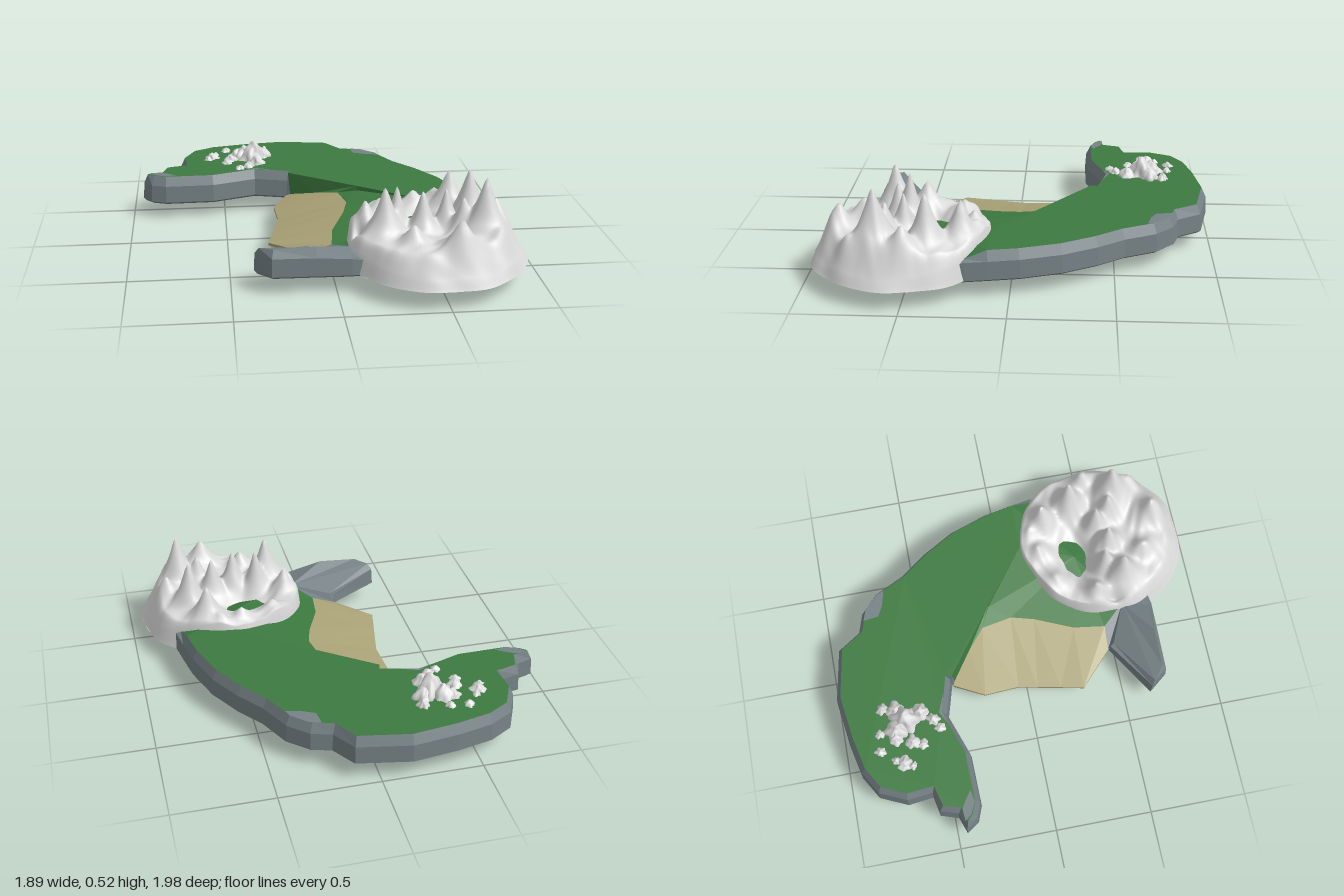
import * as THREE from 'three';
import { mergeVertices, mergeGeometries } from 'three/addons/utils/BufferGeometryUtils.js';

const mat = (name, color) => new THREE.MeshStandardMaterial({ name, color, side: THREE.DoubleSide });

// Coast from the north shore of the bay, round the island, to the spur: x, z, top height
const COAST = [
  [-0.15, -0.39, 0.23], [-0.33, -0.44, 0.23], [-0.56, -0.36, 0.23], [-0.82, -0.355, 0.23], [-0.9, -0.385, 0.23],
  [-0.945, -0.45, 0.23], [-0.86, -0.48, 0.23], [-0.83, -0.57, 0.23], [-0.73, -0.59, 0.23], [-0.745, -0.72, 0.23],
  [-0.68, -0.86, 0.23], [-0.56, -0.93, 0.23], [-0.38, -0.97, 0.23], [-0.15, -1, 0.23], [0.12, -0.95, 0.23],
  [0.2, -0.83, 0.23], [0.3, -0.8, 0.23], [0.4, -0.71, 0.23], [0.48, -0.55, 0.23], [0.58, -0.42, 0.23],
  [0.68, -0.25, 0.23], [0.75, -0.05, 0.23], [0.78, 0.1, 0.23],
  [0.8, 0.21, 0.19], [0.81, 0.4, 0.13], [0.78, 0.56, 0.1], [0.5, 0.68, 0.11],
  [0.07, 0.74, 0.17], [-0.1, 0.735, 0.23], [-0.31, 0.73, 0.22], [-0.39, 0.63, 0.21], [-0.12, 0.465, 0.14],
];
const NORTH_END = 22, EAST_END = 25, SOUTH_END = 26;
// Beach: upper edge against the grass, lower edge at the water
const UPPER = [[-0.14, -0.375, 0.11], [0, -0.27, 0.15], [0.1, -0.18, 0.18], [0.13, -0.02, 0.18], [0.1, 0.1, 0.17], [0.02, 0.3, 0.15], [0, 0.465, 0.14]];
const SHORE = [[-0.16, -0.385, 0.1], [-0.24, -0.23, 0.09], [-0.23, -0.05, 0.09], [-0.25, 0.05, 0.09], [-0.275, 0.17, 0.09], [-0.3, 0.29, 0.09], [-0.12, 0.46, 0.1]];

// Coast moved inland by d
function inset(d) {
  return COAST.map((p, i) => {
    const a = COAST[Math.max(i - 1, 0)], b = COAST[Math.min(i + 1, COAST.length - 1)];
    const tx = b[0] - a[0], tz = b[1] - a[1], l = Math.hypot(tx, tz);
    return [p[0] - tz / l * d, p[1] + tx / l * d, p[2]];
  });
}

// Flat shaded faces from [x, z, y] points
function faces(tris) {
  const g = new THREE.BufferGeometry();
  g.setAttribute('position', new THREE.Float32BufferAttribute(tris.flatMap(([x, z, y]) => [x, y, z]), 3));
  g.computeVertexNormals();
  return g;
}
function strip(a, b) {
  const t = [];
  for (let i = 0; i < a.length - 1; i++) t.push(a[i], a[i + 1], b[i], b[i], a[i + 1], b[i + 1]);
  return faces(t);
}
function fan(c, ring) {
  const t = [];
  for (let i = 0; i < ring.length - 1; i++) t.push(c, ring[i + 1], ring[i]);
  return faces(t);
}
function sheet(pts, y, down) {
  const s = new THREE.Shape(pts.map(p => new THREE.Vector2(p[0], down ? p[1] : -p[1])));
  return new THREE.ShapeGeometry(s).rotateX(down ? Math.PI / 2 : -Math.PI / 2).translate(0, y, 0);
}

// Peaks of the mountain: x, z, height, width
const PEAKS = [
  [0.72, 0.64, 0.5, 0.075], [0.69, 0.4, 0.48, 0.06], [0.24, 0.6, 0.465, 0.06], [0.31, 0.52, 0.435, 0.045],
  [0.43, 0.56, 0.42, 0.05], [0.55, 0.52, 0.42, 0.045], [0.62, 0.24, 0.42, 0.06], [0.62, 0.6, 0.4, 0.05],
  [0.57, 0.83, 0.37, 0.07], [0.36, 0.74, 0.32, 0.06], [0.8, 0.5, 0.36, 0.06], [0.45, 0.19, 0.3, 0.05],
  [0.165, 0.45, 0.35, 0.05], [0.27, 0.25, 0.28, 0.06], [0.78, 0.76, 0.3, 0.06], [0.56, 0.16, 0.3, 0.05],
];
const CX = 0.5, CZ = 0.54;
function mountainGeometry() {
  const rings = 48, segs = 120, pos = [], idx = [];
  for (let i = 0; i <= rings; i++) for (let j = 0; j < segs; j++) {
    const a = j / segs * Math.PI * 2, sz = Math.sin(a), cx = Math.cos(a);
    const R = 0.445 + 0.005 * Math.sin(a * 7) + 0.003 * Math.sin(a * 11 + 1);
    const r = R * i / rings, x = CX + r * cx, z = CZ + r * sz;
    // The north and west flanks are steep, the others spread out
    const width = 0.12 - 0.1 * Math.min(1, Math.max(0, -sz) + 0.65 * Math.max(0, -cx));
    const edge = THREE.MathUtils.smoothstep(R - r, -0.02, width);
    const low = THREE.MathUtils.smoothstep(R - r, 0, 0.015);
    let sum = 0;
    for (const [px, pz, h, w] of PEAKS)
      sum += ((h - 0.22) * Math.exp(-Math.pow(Math.hypot(x - px, z - pz) / w, 1.4))) ** 3;
    let y = 0.09 + low * (0.145 * edge + Math.cbrt(sum));
    y += 0.006 * edge * low * Math.sin(x * 45 + 2 * Math.sin(z * 30)) * Math.sin(z * 50 + 1);
    y -= 0.09 * Math.exp(-(((x - 0.4) / 0.14) ** 2 + ((z - 0.39) / 0.08) ** 2));
    y -= 0.07 * low * Math.exp(-(((x - 0.12) / 0.025) ** 2 + ((z - 0.54) / 0.05) ** 2));
    pos.push(x, Math.max(y, 0.09), z);
    if (i < rings) {
      const k = (j + 1) % segs, p = i * segs, q = p + segs;
      idx.push(p + j, p + k, q + j, p + k, q + k, q + j);
    }
  }
  const g = new THREE.BufferGeometry();
  g.setAttribute('position', new THREE.Float32BufferAttribute(pos, 3));
  g.setIndex(idx);
  g.computeVertexNormals();
  return g;
}

// A lumpy pointed rock standing on the grass: x, z, radius, height
function rockGeometry([x, z, r, h], n) {
  let g = new THREE.IcosahedronGeometry(1, 4);
  g.deleteAttribute('uv');
  g.deleteAttribute('normal');
  g = mergeVertices(g, 1e-4);
  const p = g.attributes.position, v = new THREE.Vector3();
  for (let i = 0; i < p.count; i++) {
    v.fromBufferAttribute(p, i);
    const k = 1.2 + 0.28 * Math.sin(v.x * 5 + n * 2) * Math.sin(v.z * 5 + n) + 0.15 * Math.sin(v.y * 7 + v.x * 4 + n);
    const taper = 1 - 0.55 * Math.max(0, v.y);
    p.setXYZ(i, x + v.x * k * r * taper, 0.225 + v.y * (v.y > 0 ? h * (0.83 + 0.14 * k) : 0.03), z + v.z * k * r * taper);
  }
  g.computeVertexNormals();
  return g;
}
const ROCKS = [
  [-0.33, -0.66, 0.06, 0.11], [-0.38, -0.71, 0.05, 0.07], [-0.28, -0.7, 0.045, 0.06], [-0.26, -0.77, 0.025, 0.045],
  [-0.31, -0.58, 0.04, 0.055], [-0.42, -0.72, 0.035, 0.05], [-0.36, -0.52, 0.03, 0.035], [-0.41, -0.49, 0.025, 0.025],
  [-0.46, -0.64, 0.035, 0.04], [-0.48, -0.59, 0.025, 0.025], [-0.56, -0.7, 0.035, 0.035], [-0.58, -0.66, 0.02, 0.025],
  [-0.54, -0.74, 0.02, 0.025], [-0.48, -0.81, 0.025, 0.03], [-0.39, -0.8, 0.022, 0.03],
];
// Rock points hanging under the island: x, z, radius, lowest height
const ROOTS = [[-0.58, -0.59, 0.026, 0.015], [-0.52, -0.56, 0.014, 0], [-0.49, -0.51, 0.012, 0.04], [-0.35, -0.64, 0.02, 0.05], [0.69, 0.6, 0.04, 0.05]];

export function createModel() {
  const grass = mat('grass', 0x3d7a40), stone = mat('cliff grey', 0x768286);
  const sand = mat('sand', 0xaaa276), rock = mat('pale rock', 0xdadada);
  const model = new THREE.Group();
  const add = (name, geo, m) => {
    const mesh = new THREE.Mesh(geo, m);
    mesh.name = name;
    model.add(mesh);
  };

  // Cliff, with a lip turned in under the foot
  const top = inset(0.03), foot = inset(0.02), under = inset(0.04);
  const at = (pts, y) => pts.map(p => [p[0], p[1], Math.min(y, p[2])]);
  const levels = [at(under, 0.076), at(foot, 0.076), at(COAST, 0.09), at(inset(0.006), 0.18), top];
  add('cliff', mergeGeometries([0, 1, 2, 3].map(i => strip(levels[i + 1], levels[i]))), stone);

  // Grass: flat north, sloping south, and the bank above the beach
  const bay = [-0.15, -0.387, 0.23], spurRoot = [0.1, 0.58, 0.17];
  const creaseWest = [0.2, -0.13, 0.23], creaseLow = [0.2, -0.13, 0.205], creaseEast = [0.5, 0.1, 0.23];
  add('plateau', sheet([bay, ...top.slice(0, NORTH_END + 1), creaseEast, creaseWest], 0.23), grass);
  add('southSlope', fan([0.4, 0.38, 0.205], [UPPER[3], creaseLow, creaseEast,
    ...top.slice(NORTH_END, SOUTH_END + 1), spurRoot, ...UPPER.slice(3).reverse()]), grass);
  add('bank', faces([
    bay, UPPER[1], UPPER[0], bay, creaseWest, UPPER[1], creaseWest, UPPER[2], UPPER[1],
    creaseWest, creaseLow, UPPER[2], creaseWest, creaseEast, creaseLow, UPPER[2], creaseLow, UPPER[3],
  ]), grass);
  add('bankEnd', faces([bay, UPPER[0], SHORE[0], bay, SHORE[0], top[0]]), stone);

  // Spur beside the beach
  add('spurTop', fan(spurRoot, [...top.slice(SOUTH_END), SHORE[6], UPPER[6]]), stone);

  // Beach and its edge
  add('beach', strip(UPPER, SHORE), sand);
  add('beachEdge', strip(SHORE, at(SHORE, 0.076)), sand);

  // Underside
  const spurLine = [0.45, 0.6];
  add('underside', sheet([...under.slice(0, EAST_END + 1), spurLine, ...[...UPPER].reverse()], 0.076, true), grass);
  add('spurUnderside', sheet([...under.slice(EAST_END), UPPER[6], spurLine], 0.076, true), stone);
  add('beachUnderside', sheet([...UPPER, ...[...SHORE].reverse()], 0.076, true), sand);

  // Bare stone patches on the grass
  const patches = [
    [[0.24, -0.79], [0.3, -0.77], [0.375, -0.7], [0.39, -0.66], [0.31, -0.68], [0.25, -0.71]],
    [[-0.4, -0.447], [-0.33, -0.485], [-0.23, -0.445], [-0.33, -0.468]],
    [[-0.91, -0.45], [-0.85, -0.455], [-0.82, -0.44], [-0.76, -0.4], [-0.82, -0.387], [-0.88, -0.415]],
  ];
  for (const p of patches) add('barePatch', sheet(p, 0.232), stone);

  // Mountain with its flat base
  add('mountain', mountainGeometry(), rock);
  add('mountainBase', new THREE.CircleGeometry(0.44, 64).rotateX(Math.PI / 2).translate(CX, 0.09, CZ), rock);

  // Rocky outcrop and its roots
  ROCKS.forEach((r, i) => add('outcropRock', rockGeometry(r, i), rock));
  for (const [x, z, r, y] of ROOTS)
    add('rockRoot', new THREE.ConeGeometry(r, 0.1 - y, 12).rotateX(Math.PI).translate(x, (0.1 + y) / 2, z), rock);
  return model;
}
